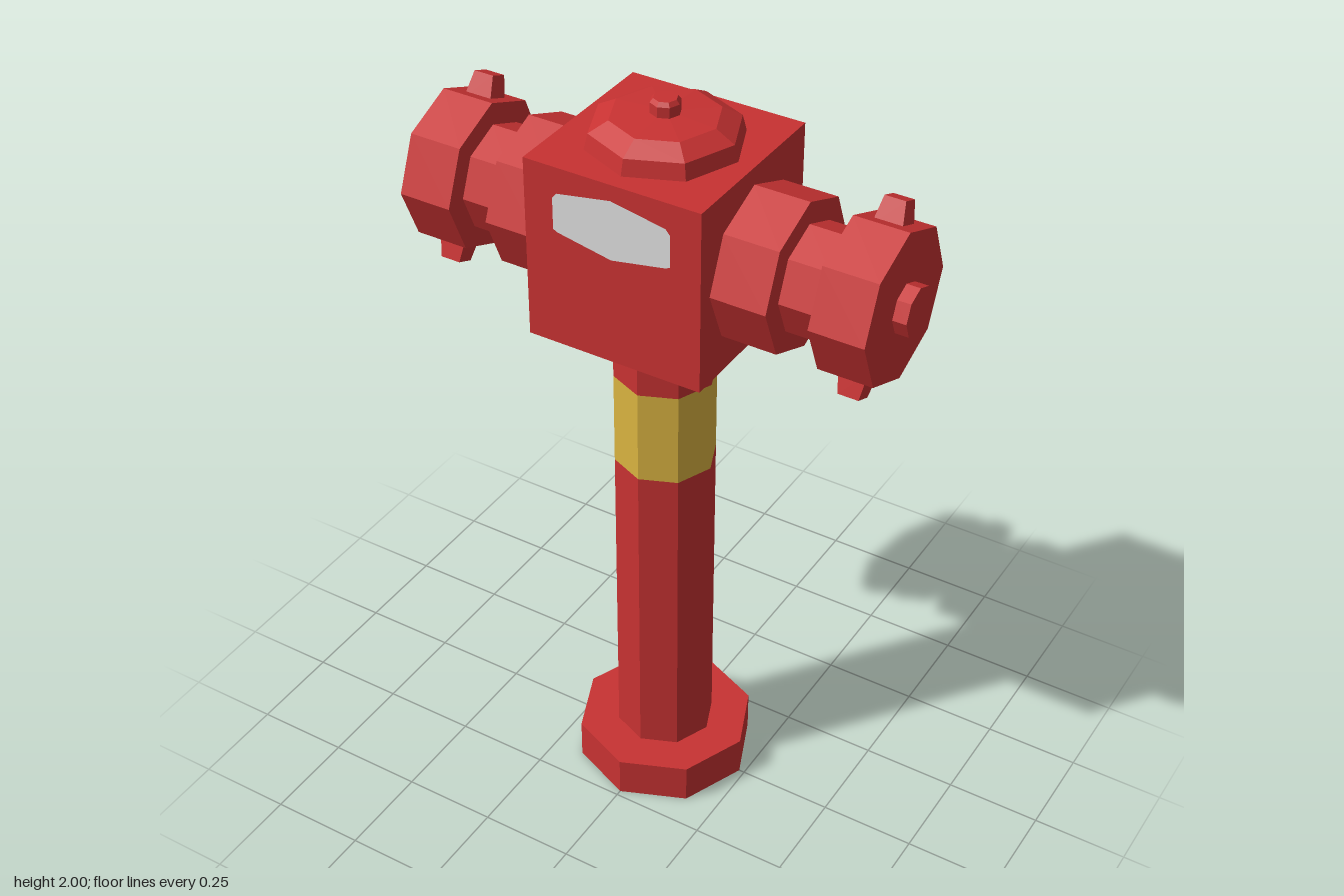
import * as THREE from 'three';

const paint = (name, color) => {
  const m = new THREE.MeshStandardMaterial({ color, flatShading: true });
  m.name = name;
  return m;
};

export function createModel() {
  const red = paint('red paint', 0xc83232);
  const yellow = paint('yellow band', 0xdbb441);
  const grey = paint('pale grey', 0xdedede);
  const hydrant = new THREE.Group();
  hydrant.name = 'hydrant';

  const add = (parent, name, geometry, material) => {
    const mesh = new THREE.Mesh(geometry, material);
    mesh.name = name;
    parent.add(mesh);
    return mesh;
  };
  // Octagonal prism between two heights
  const prism = (r, from, to, open = false) =>
    new THREE.CylinderGeometry(r, r, to - from, 8, 1, open).translate(0, (from + to) / 2, 0);

  // Foot and column
  add(hydrant, 'base', prism(0.235, 0, 0.11), red);
  add(hydrant, 'lowerColumn', prism(0.13, 0.11, 1.0, true), red);
  add(hydrant, 'columnBand', prism(0.13, 1.0, 1.255, true), yellow);
  add(hydrant, 'upperColumn', prism(0.13, 1.255, 1.415, true), red);

  // Square head
  add(hydrant, 'head', new THREE.BoxGeometry(0.465, 0.475, 0.465).translate(0, 1.6525, 0), red);

  // Domed lid and its nut
  const lid = [[0.19, 1.89], [0.18, 1.93], [0.132, 1.957], [0, 1.966]];
  add(hydrant, 'lid', new THREE.LatheGeometry(lid.map(p => new THREE.Vector2(...p)), 8), red);
  const nut = [[0.037, 1.95], [0.037, 1.99], [0.029, 2.0], [0, 2.0]];
  add(hydrant, 'lidNut', new THREE.LatheGeometry(nut.map(p => new THREE.Vector2(...p)), 8), red);

  // Plates on the front and back of the head
  const half = [[0.143, 1.824], [0.155, 1.81], [0.155, 1.728], [0.143, 1.722]];
  const outline = [[0, 1.85], ...half, [0, 1.695], ...half.map(([x, y]) => [-x, y]).reverse()];
  const plate = new THREE.ShapeGeometry(new THREE.Shape(outline.map(p => new THREE.Vector2(...p))));
  for (const [name, turn] of [['frontPlate', 0], ['backPlate', Math.PI]]) {
    add(hydrant, name, plate.clone().translate(0, 0, 0.2345).rotateY(turn), grey);
  }

  // Tapered lug: a box whose outer face is narrowed
  const lug = new THREE.BoxGeometry(0.076, 0.07, 0.066).translate(0, 0.197, 0);
  const pos = lug.attributes.position;
  for (let i = 0; i < pos.count; i++) {
    if (pos.getY(i) > 0.2) {
      pos.setX(i, pos.getX(i) * 0.7);
      pos.setZ(i, pos.getZ(i) * 0.75);
    }
  }

  // Side outlets, each with flange, neck, cap, nut and two lugs
  for (const side of [1, -1]) {
    const outlet = new THREE.Group();
    outlet.name = side > 0 ? 'leftOutlet' : 'rightOutlet';
    outlet.position.y = 1.652;
    hydrant.add(outlet);
    const sections = [
      ['flange', 0.193, 0.23, 0.375],
      ['neck', 0.136, 0.375, 0.48],
      ['cap', 0.193, 0.48, 0.62],
      ['capNut', 0.062, 0.62, 0.655],
    ];
    for (const [name, r, from, to] of sections) {
      add(outlet, name, prism(r, from, to).rotateZ(-side * Math.PI / 2), red);
    }
    for (const turn of [0, Math.PI]) {
      const mesh = add(outlet, turn ? 'lowerLug' : 'upperLug', lug, red);
      mesh.position.x = side * 0.548;
      mesh.rotation.x = turn - Math.PI / 8;
    }
  }
  return hydrant;
}
